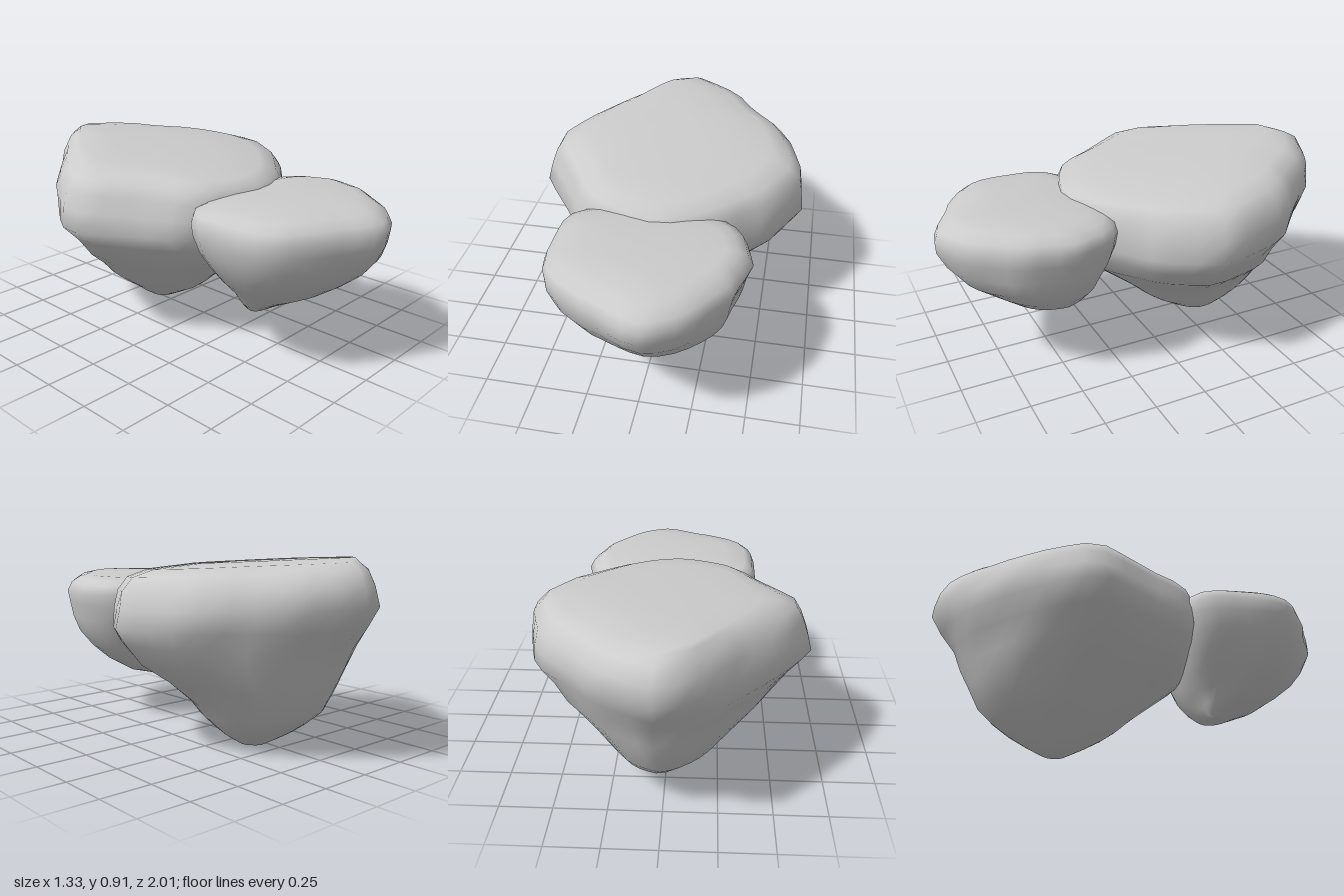
import * as THREE from 'three';
import { mergeVertices } from 'three/addons/utils/BufferGeometryUtils.js';

const SIDES = 36;

// Gentle lumps and dents, roughly -1 to 1
function lump(x, y, z) {
  return 0.5 * Math.sin(7 * x + 5 * y + 4) * Math.sin(6 * z - 8 * y + 1)
    + 0.5 * Math.sin(15 * x - 11 * z + 11 * y) * Math.cos(17 * y + 8 * z);
}

// Stacks a plan outline [x, z] through levels [y, xMin, xMax, zMin, zMax, slope], bottom to top.
// Below the shoulder height the outline turns gradually rounder.
function makeBoulder(name, outline, levels, { roughness, shoulder, roundness }) {
  const curve = new THREE.CatmullRomCurve3(
    outline.map(([x, z]) => new THREE.Vector3(x, 0, z)), true, 'centripetal');
  const ring = curve.getSpacedPoints(SIDES).slice(0, SIDES);
  const box = new THREE.Box3().setFromPoints(ring);
  const size = box.getSize(new THREE.Vector3());
  const positions = [];
  const index = [];

  levels.forEach(([y, x0, x1, z0, z1, slope], j) => {
    const cx = (x0 + x1) / 2, cz = (z0 + z1) / 2;
    const round = roundness * THREE.MathUtils.clamp(1.5 * (shoulder - y) / shoulder, 0, 1);
    for (const p of ring) {
      const u = 2 * (p.x - box.min.x) / size.x - 1;
      const v = 2 * (p.z - box.min.z) / size.z - 1;
      const swell = THREE.MathUtils.lerp(1, 1 / Math.hypot(u, v), round);
      const dx = u * swell * (x1 - x0) / 2, dz = v * swell * (z1 - z0) / 2;
      const bump = 1 + roughness * lump(cx + dx, y, cz + dz);
      positions.push(cx + dx * bump, y + slope * dz, cz + dz * bump);
    }
    if (j === 0) return;
    for (let i = 0; i < SIDES; i++) {
      const k = (i + 1) % SIDES;
      const a = (j - 1) * SIDES + i, b = (j - 1) * SIDES + k;
      const c = j * SIDES + k, d = j * SIDES + i;
      index.push(b, a, d, b, d, c);
    }
  });

  let geometry = new THREE.BufferGeometry();
  geometry.setAttribute('position', new THREE.Float32BufferAttribute(positions, 3));
  geometry.setIndex(index);
  geometry = mergeVertices(geometry, 1e-4);
  geometry.computeVertexNormals();
  const mesh = new THREE.Mesh(geometry, new THREE.MeshStandardMaterial({ color: 0xcccccc }));
  mesh.name = name;
  return mesh;
}

export function createModel() {
  const group = new THREE.Group();
  group.name = 'floatingRocks';

  // Large rock: flat top rising to the back, tapering to a blunt point below
  group.add(makeBoulder('largeRock', [
    [0.03, -1], [0.15, -0.935], [0.29, -0.85], [0.4, -0.7], [0.54, -0.55], [0.61, -0.4],
    [0.66, -0.17], [0.61, -0.05], [0.52, 0.09], [0.38, 0.2], [0.2, 0.33], [0, 0.38],
    [-0.2, 0.33], [-0.37, 0.25], [-0.48, 0.07], [-0.6, -0.12], [-0.67, -0.25],
    [-0.64, -0.31], [-0.5, -0.54], [-0.37, -0.69], [-0.2, -0.88], [-0.05, -0.99],
  ], [
    [0, 0.04, 0.04, -0.36, -0.36, 0],
    [0.003, -0.02, 0.1, -0.42, -0.29, 0],
    [0.05, -0.09, 0.17, -0.51, -0.2, 0],
    [0.1, -0.15, 0.22, -0.6, -0.11, 0],
    [0.15, -0.22, 0.265, -0.67, -0.04, 0],
    [0.21, -0.295, 0.31, -0.735, 0.03, 0],
    [0.32, -0.415, 0.415, -0.79, 0.17, 0],
    [0.41, -0.52, 0.53, -0.83, 0.28, 0],
    [0.51, -0.6, 0.61, -0.88, 0.35, -0.01],
    [0.59, -0.67, 0.66, -0.945, 0.375, -0.03],
    [0.68, -0.655, 0.65, -1, 0.385, -0.04],
    [0.76, -0.625, 0.63, -0.985, 0.38, -0.05],
    [0.82, -0.585, 0.57, -0.945, 0.36, -0.06],
    [0.852, -0.51, 0.47, -0.89, 0.29, -0.065],
    [0.872, -0.42, 0.24, -0.82, 0.14, -0.07],
    [0.877, -0.25, 0.08, -0.6, -0.12, -0.07],
    [0.878, -0.06, -0.06, -0.36, -0.36, 0],
  ], { roughness: 0.022, shoulder: 0.65, roundness: 0.55 }));

  // Small rock: lower, overlapping the front of the large one
  group.add(makeBoulder('smallRock', [
    [0.32, 0.23], [0.4, 0.3], [0.44, 0.42], [0.46, 0.5], [0.42, 0.63], [0.4, 0.71],
    [0.33, 0.81], [0.26, 0.89], [0.17, 0.96], [0.06, 1], [-0.05, 0.96], [-0.12, 0.92],
    [-0.2, 0.89], [-0.3, 0.83], [-0.38, 0.77], [-0.43, 0.66], [-0.44, 0.48],
    [-0.42, 0.33], [-0.36, 0.26], [-0.18, 0.21], [0.05, 0.2], [0.2, 0.2],
  ], [
    [0.19, -0.09, -0.09, 0.43, 0.43, 0],
    [0.2, -0.13, -0.03, 0.39, 0.47, 0],
    [0.25, -0.19, 0.17, 0.36, 0.57, 0],
    [0.31, -0.24, 0.27, 0.32, 0.7, 0],
    [0.38, -0.31, 0.34, 0.28, 0.8, 0],
    [0.46, -0.37, 0.4, 0.25, 0.9, 0],
    [0.54, -0.41, 0.43, 0.22, 0.96, 0],
    [0.62, -0.435, 0.445, 0.2, 0.995, 0],
    [0.68, -0.44, 0.465, 0.2, 1, 0],
    [0.725, -0.42, 0.44, 0.21, 0.98, 0],
    [0.752, -0.38, 0.4, 0.25, 0.92, 0.02],
    [0.768, -0.28, 0.35, 0.32, 0.83, 0.02],
    [0.774, -0.1, 0.15, 0.5, 0.72, 0.01],
    [0.775, 0.02, 0.02, 0.62, 0.62, 0],
  ], { roughness: 0.03, shoulder: 0.68, roundness: 0.6 }));

  return group;
}
